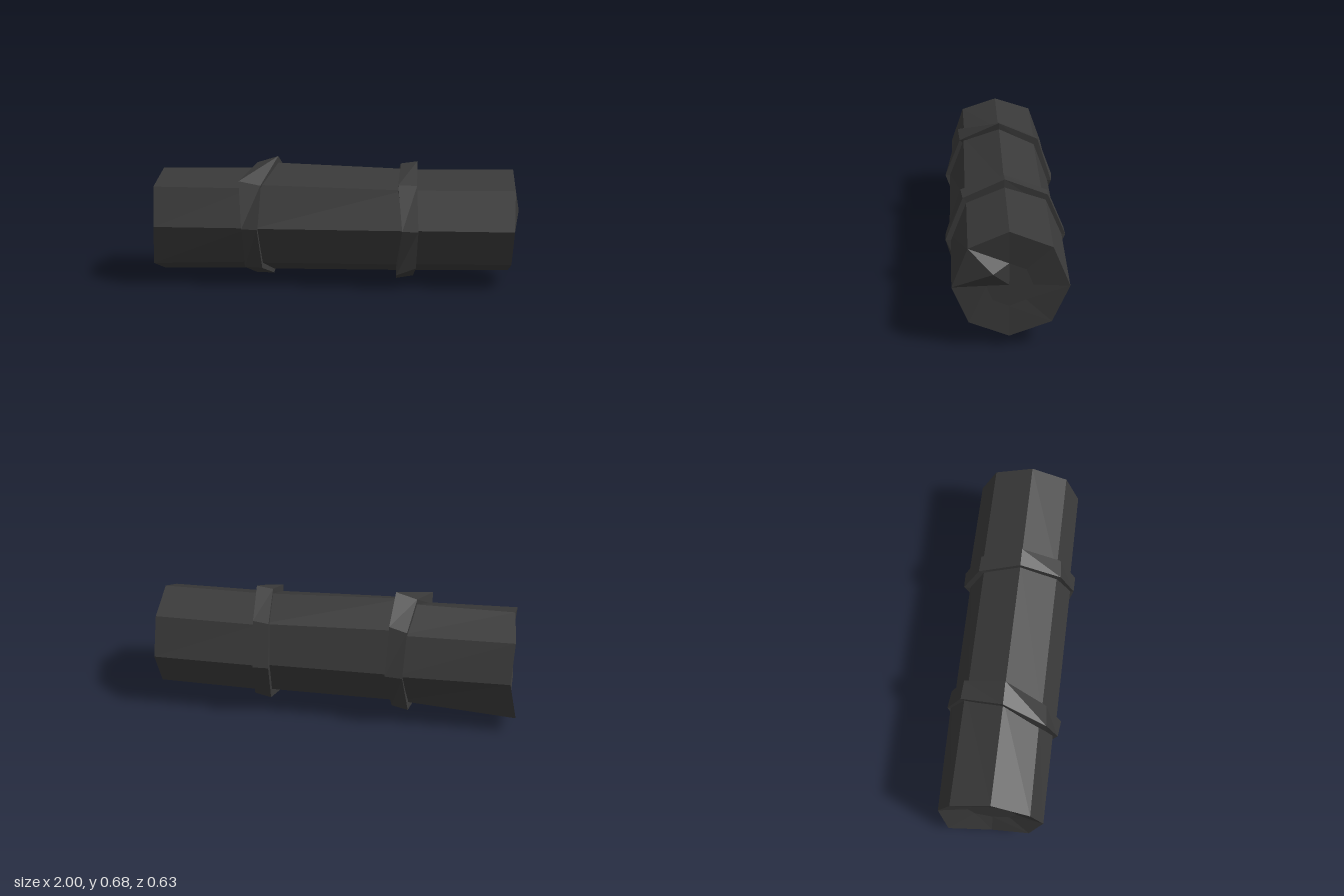
import * as THREE from 'three';

const SIDES = 8, CY = 0.335;

// Ring of eight points running top, upper front, front, lower front, bottom, lower back, back, upper back.
// xs: x of each corner; top, bottom, front, back: reach of the octagon; d: diagonal corner factor
function ring(xs, top, bottom, front, back, d = 0.71) {
  return Array.from({ length: SIDES }, (_, k) => {
    const a = k * Math.PI / 4;
    const diag = k % 2 ? d : 1;
    const c = Math.sign(Math.round(Math.cos(a) * 10)), s = Math.sign(Math.round(Math.sin(a) * 10));
    const y = c > 0 ? top - CY : CY - bottom;
    const z = s > 0 ? front : back;
    return [Array.isArray(xs) ? xs[k] : xs, CY + c * y * diag, s * z * diag];
  });
}

const point = (x) => Array.from({ length: SIDES }, () => [x, CY, 0]);

// Joins consecutive rings (ordered towards +x) into a faceted skin
function loft(rings) {
  const pos = [];
  const same = (p, q) => p.every((v, i) => v === q[i]);
  const tri = (p, q, r) => {
    if (!same(p, q) && !same(q, r) && !same(p, r)) pos.push(...p, ...q, ...r);
  };
  for (let i = 0; i < rings.length - 1; i++) {
    const a = rings[i], b = rings[i + 1];
    for (let k = 0; k < SIDES; k++) {
      const n = (k + 1) % SIDES;
      tri(a[k], a[n], b[k]);
      tri(a[n], b[n], b[k]);
    }
  }
  const g = new THREE.BufferGeometry();
  g.setAttribute('position', new THREE.Float32BufferAttribute(pos, 3));
  g.computeVertexNormals();
  return g;
}

// Collar: two uneven outer rings with side walls sinking into the log
function collar(left, right) {
  const sink = (r) => r.map(([x, y, z]) => [x, CY + (y - CY) * 0.8, z * 0.8]);
  return loft([sink(left), left, right, sink(right)]);
}

export function createModel() {
  const group = new THREE.Group();
  const charcoal = new THREE.MeshStandardMaterial({ color: 0x393939, flatShading: true });
  const add = (name, geometry) => {
    const m = new THREE.Mesh(geometry, charcoal);
    m.name = name;
    group.add(m);
  };

  // Log with a dished left end and a bumpy right end
  const leftEnd = ring([-0.955, -0.97, -0.96, -0.98, -0.97, -1.0, -0.955, -0.965], 0.615, 0.04, 0.275, 0.285, 0.74);
  leftEnd[5] = [-1.0, 0.1, -0.235];
  add('log', loft([
    point(-0.93),
    ring(-0.93, 0.46, 0.21, 0.13, 0.13),
    leftEnd,
    ring([-0.40, -0.44, -0.44, -0.43, -0.40, -0.37, -0.34, -0.35], 0.62, 0.05, 0.275, 0.295),
    ring([-0.36, -0.42, -0.42, -0.41, -0.38, -0.35, -0.32, -0.33], 0.65, 0.045, 0.285, 0.28),
    ring(0.385, 0.622, 0.05, 0.285, 0.28),
    ring(0.405, 0.62, 0.05, 0.277, 0.298),
    ring([0.97, 0.97, 0.965, 0.96, 0.96, 0.965, 0.97, 0.97], 0.625, 0.06, 0.275, 0.29),
    ring([0.95, 1.0, 0.955, 0.95, 0.95, 0.95, 0.95, 0.95], 0.45, 0.22, 0.11, 0.115),
    point(0.95),
  ]));

  // Slanted left collar with raised corners
  const l1 = ring([-0.43, -0.5, -0.48, -0.475, -0.44, -0.42, -0.39, -0.40], 0.65, 0.022, 0.302, 0.312, 0.73);
  const r1 = ring([-0.315, -0.385, -0.395, -0.38, -0.345, -0.33, -0.295, -0.305], 0.685, 0.022, 0.312, 0.302, 0.73);
  l1[1] = [-0.5, 0.583, 0.235];
  r1[1] = [-0.385, 0.558, 0.225];
  l1[3] = [-0.475, 0.11, 0.225];
  l1[5] = [-0.42, 0.096, -0.238];
  add('leftCollar', collar(l1, r1));

  // Narrower right collar
  const l2 = ring([0.36, 0.35, 0.375, 0.35, 0.34, 0.34, 0.33, 0.34], 0.652, 0.003, 0.305, 0.316, 0.72);
  const r2 = ring([0.45, 0.45, 0.46, 0.45, 0.435, 0.43, 0.415, 0.425], 0.665, 0.02, 0.306, 0.318, 0.7);
  l2[1] = [0.35, 0.57, 0.225];
  l2[3] = [0.345, 0.086, 0.255];
  l2[7] = [0.34, 0.556, -0.226];
  add('rightCollar', collar(l2, r2));

  return group;
}
